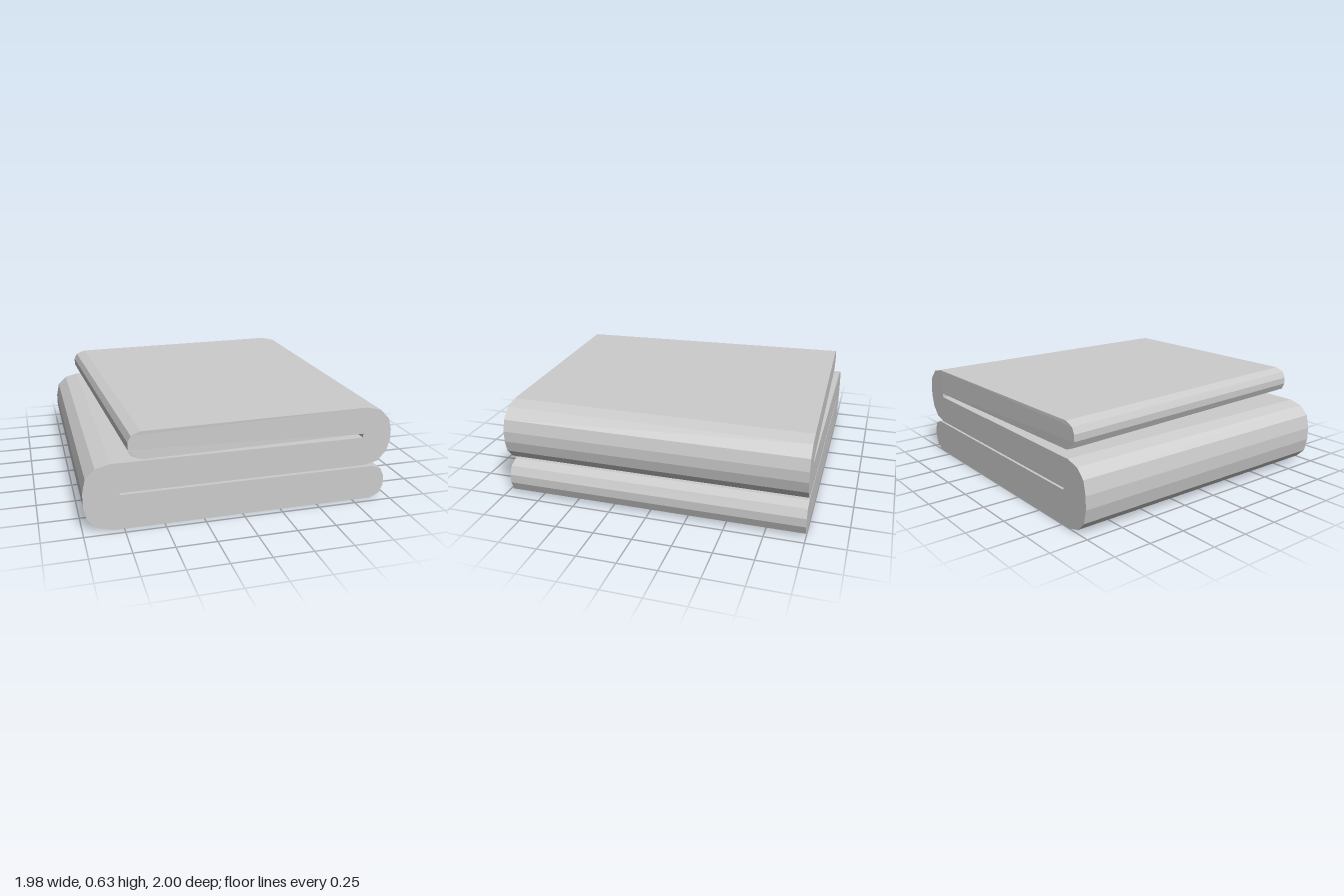
import * as THREE from 'three';

const BACK = -1, FRONT = 0.955;

// Folded cross-section, counter-clockwise from the bottom left
const hem = [ // rounded end of the bottom layer
  [0.88, 0], [0.94, 0.028], [0.965, 0.088], [0.965, 0.145], [0.94, 0.2], [0.88, 0.226],
];
const lowerSlit = [[-0.77, 0.226], [-0.77, 0.239]];
const rightFold = [
  [0.82, 0.239], [0.91, 0.26], [0.968, 0.325], [0.988, 0.4], [0.988, 0.47],
  [0.968, 0.545], [0.905, 0.609], [0.81, 0.632],
];
const freeEnd = [ // loose end of the top layer
  [-0.695, 0.632], [-0.755, 0.609], [-0.775, 0.568], [-0.775, 0.524], [-0.755, 0.481], [-0.695, 0.458],
];
const upperSlit = [[0.795, 0.458], [0.795, 0.431]];
const leftFold = [
  [-0.82, 0.431], [-0.91, 0.408], [-0.97, 0.35], [-0.99, 0.26],
  [-0.99, 0.175], [-0.97, 0.085], [-0.91, 0.026], [-0.82, 0],
];

// Swing the loose end slightly askew, towards the front
function skewFreeEnd(geometry) {
  const p = geometry.attributes.position;
  for (let i = 0; i < p.count; i++) {
    const x = p.getX(i), y = p.getY(i), z = p.getZ(i);
    if (x < -0.6 && y > 0.45) {
      p.setX(i, x + 0.056 * (z > 0 ? 1 : -1));
      p.setZ(i, z + 0.04);
    }
  }
}

export function createModel() {
  const group = new THREE.Group();
  group.name = 'foldedBlanket';

  const cloth = new THREE.MeshStandardMaterial({ color: 0xcccccc });
  cloth.name = 'greyCloth';

  const outline = [...hem, ...lowerSlit, ...rightFold, ...freeEnd, ...upperSlit, ...leftFold];
  const shape = new THREE.Shape(outline.map(([x, y]) => new THREE.Vector2(x, y)));
  const geometry = new THREE.ExtrudeGeometry(shape, { depth: FRONT - BACK, bevelEnabled: false });
  geometry.translate(0, 0, BACK);
  skewFreeEnd(geometry);
  geometry.computeVertexNormals(); // unshared corners keep every facet flat

  const blanket = new THREE.Mesh(geometry, cloth);
  blanket.name = 'blanket';
  group.add(blanket);
  return group;
}
